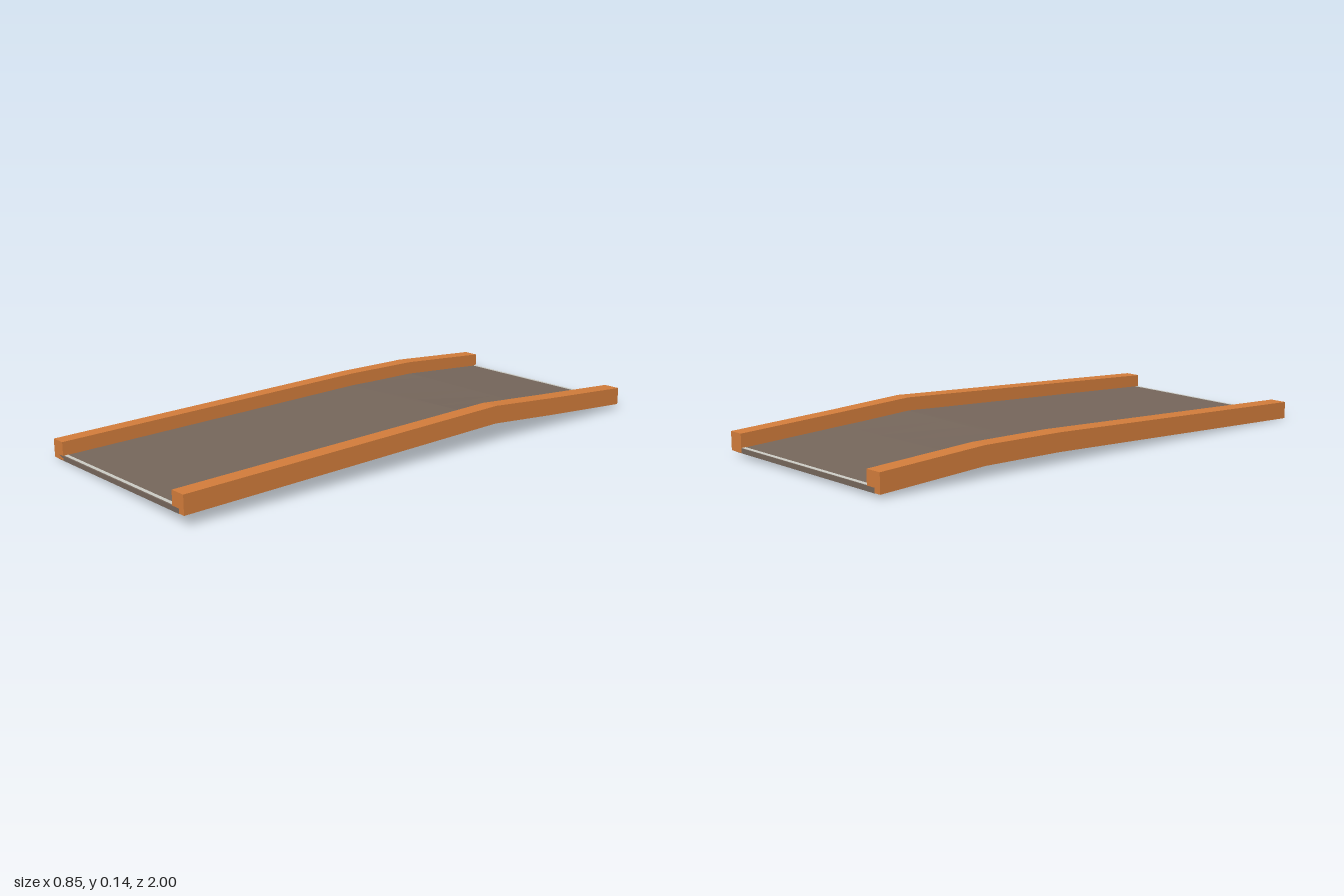
import * as THREE from 'three';

// Underside height along the length, one list for each side: [z, y]
const leftProfile = [[1, 0.037], [-0.3, 0.07], [-0.6, 0.047], [-1, 0.019]]; // +x side
const rightProfile = [[1, 0.003], [-0.28, 0.039], [-0.6, 0.039], [-1, 0.013]]; // -x side

function sample(profile, z) {
  for (let i = 0; i < profile.length - 1; i++) {
    const [za, ya] = profile[i], [zb, yb] = profile[i + 1];
    if (z <= za && z >= zb) return ya + (yb - ya) * (za - z) / (za - zb);
  }
  return profile[profile.length - 1][1];
}

// Twisting base surface, linear across x
function baseHeight(x, z) {
  const t = (x + 0.4) / 0.8;
  return THREE.MathUtils.lerp(sample(rightProfile, z), sample(leftProfile, z), t);
}

// Box from x0..x1, z0..z1 that rides on the base surface
function ridingBar(name, material, x0, x1, low, high, stations, xSegments = 1) {
  const n = stations.length - 1;
  const box = new THREE.BoxGeometry(1, 1, 1, xSegments, 1, n);
  const p = box.attributes.position;
  for (let i = 0; i < p.count; i++) {
    const x = THREE.MathUtils.lerp(x0, x1, p.getX(i) + 0.5);
    const z = stations[Math.round((0.5 - p.getZ(i)) * n)];
    p.setXYZ(i, x, baseHeight(x, z) + (p.getY(i) > 0 ? high : low), z);
  }
  const geometry = box.toNonIndexed();
  geometry.computeVertexNormals();
  const mesh = new THREE.Mesh(geometry, material);
  mesh.name = name;
  return mesh;
}

export function createModel() {
  const group = new THREE.Group();
  group.name = 'rampSection';

  const curbOrange = new THREE.MeshStandardMaterial({ color: 0xd07b3a });
  curbOrange.name = 'curbOrange';
  const roadBrown = new THREE.MeshStandardMaterial({ color: 0x74655a });
  roadBrown.name = 'roadBrown';
  const edgeGrey = new THREE.MeshStandardMaterial({ color: 0xc9c9c2 });
  edgeGrey.name = 'edgeGrey';

  const stations = [1, -0.28, -0.3, -0.6, -1];

  // Road slab
  group.add(ridingBar('roadSlab', roadBrown, -0.4, 0.4, 0, 0.017, stations, 6));

  // Side curbs
  group.add(ridingBar('leftCurb', curbOrange, 0.362, 0.427, 0.001, 0.067, stations));
  group.add(ridingBar('rightCurb', curbOrange, -0.427, -0.362, 0.001, 0.067, stations));

  // Pale strips on the road ends
  group.add(ridingBar('frontEdgeStrip', edgeGrey, -0.398, 0.398, 0.015, 0.018, [0.995, 0.982]));
  group.add(ridingBar('backEdgeStrip', edgeGrey, -0.398, 0.398, 0.015, 0.018, [-0.984, -0.997]));

  return group;
}
